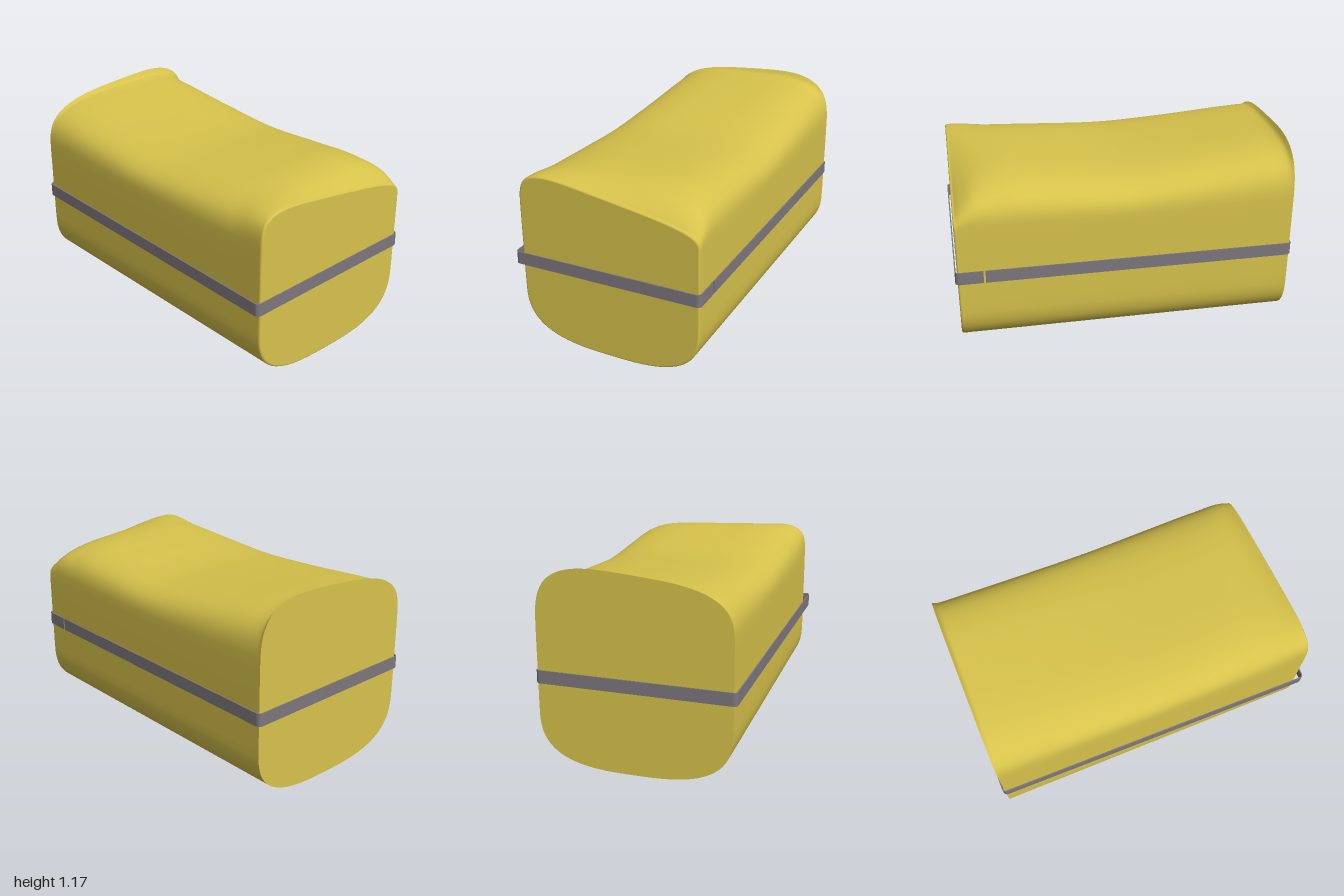
import * as THREE from 'three';

const XC = 0.012, HALF_W = 0.563, SIDE_LOW = 0.35, SIDE_HIGH = 0.8, SEG = 40;

// Lengthwise stations of the sagging top: z, crown height above the sides, sideways lean
const STATIONS = [
  [-0.987, 0.358, 0.05], [-0.965, 0.333, 0.035], [-0.92, 0.323, 0.025], [-0.8, 0.311, 0.02],
  [-0.4, 0.268, 0.01], [0, 0.239, 0], [0.4, 0.26, 0], [0.7, 0.275, -0.005],
  [0.85, 0.256, -0.03], [0.93, 0.225, -0.065], [0.962, 0.207, -0.084],
];

// Closed cross-section: bulging bottom, straight sides, leaning rounded top
function section(h, s, p, shrink) {
  const pts = [];
  for (const top of [true, false]) {
    const e = 2 / (top ? p : 2.9);
    for (let i = 0; i <= SEG; i++) {
      const a = (i / SEG + (top ? 0 : 1)) * Math.PI;
      const c = i === 0 || i === SEG ? Math.sign(Math.cos(a)) : Math.cos(a);
      const u = Math.sign(c) * Math.abs(c) ** e;
      const f = i === 0 || i === SEG ? 0 : Math.abs(Math.sin(a)) ** e;
      const y = top ? SIDE_HIGH + (h + s * u) * f : 0.003 + (SIDE_LOW - 0.003) * (1 - f);
      pts.push(new THREE.Vector2(XC + HALF_W * u * (1 - shrink), 0.53 + (y - 0.53) * (1 - shrink)));
    }
  }
  return pts;
}

function createBody(material) {
  const curve = new THREE.CatmullRomCurve3(STATIONS.map(([z, h, s]) => new THREE.Vector3(h, s, z)));
  const rings = [];
  for (let i = 0; i <= 70; i++) {
    const q = curve.getPoint(i / 70);
    const p = 3.4 + 1.1 * THREE.MathUtils.smoothstep(q.z, 0.7, 0.96);
    rings.push({ z: q.z, pts: section(q.x, q.y, p, 0) });
  }
  // Softly rounded front rim
  const [zEnd, hEnd, sEnd] = STATIONS[STATIONS.length - 1];
  for (let i = 1; i <= 5; i++) {
    const a = (i / 5) * Math.PI / 2;
    rings.push({ z: zEnd + 0.012 * Math.sin(a), pts: section(hEnd, sEnd, 4.5, 0.02 * (1 - Math.cos(a))) });
  }

  const n = rings[0].pts.length, pos = [], idx = [];
  for (const r of rings) for (const p of r.pts) pos.push(p.x, p.y, r.z);
  for (let r = 0; r < rings.length - 1; r++) {
    for (let i = 0; i < n; i++) {
      const a = r * n + i, b = r * n + (i + 1) % n;
      idx.push(a, b, b + n, a, b + n, a + n);
    }
  }
  const shellGeo = new THREE.BufferGeometry();
  shellGeo.setAttribute('position', new THREE.Float32BufferAttribute(pos, 3));
  shellGeo.setIndex(idx);
  shellGeo.computeVertexNormals();

  const body = new THREE.Group();
  body.name = 'body';
  const shell = new THREE.Mesh(shellGeo, material);
  shell.name = 'bodyShell';
  body.add(shell);

  // Flat ends
  for (const [name, ring] of [['frontFace', rings[rings.length - 1]], ['backFace', rings[0]]]) {
    const geo = new THREE.ShapeGeometry(new THREE.Shape(ring.pts));
    if (name === 'backFace') {
      geo.index.array.reverse();
      geo.computeVertexNormals();
    }
    const face = new THREE.Mesh(geo, material);
    face.name = name;
    face.position.z = ring.z;
    body.add(face);
  }
  return body;
}

// Thin strap around the middle, open at a narrow slit on the left side near the front
function createStrap(material) {
  const R = 0.025, T = 0.007, HEIGHT = 0.077;
  // Corner centres (x, z) and start angle, running from the slit around the front
  const corners = [
    [0.56, 0.963, 0], [-0.565, 0.97, 1], [-0.547, -0.974, 2], [0.56, -0.974, 3],
  ];
  const outline = (r) => {
    const pts = [new THREE.Vector2(0.56 + r, -0.826)];
    for (const [x, z, quarter] of corners) {
      for (let i = 0; i <= 4; i++) {
        const a = (quarter + i / 4) * Math.PI / 2;
        pts.push(new THREE.Vector2(x + r * Math.cos(a), -(z + r * Math.sin(a))));
      }
    }
    pts.push(new THREE.Vector2(0.56 + r, -0.814));
    return pts;
  };
  const shape = new THREE.Shape([...outline(R), ...outline(R - T).reverse()]);
  const geo = new THREE.ExtrudeGeometry(shape, { depth: HEIGHT, bevelEnabled: false });
  geo.rotateX(-Math.PI / 2);
  // Slight sag toward the front right corner
  const p = geo.attributes.position;
  for (let i = 0; i < p.count; i++) {
    const u = (0.585 - p.getX(i)) / 1.17, v = (p.getZ(i) + 1) / 2;
    p.setY(i, p.getY(i) + 0.495 - u * (0.004 + 0.011 * v));
  }
  geo.computeVertexNormals();
  const strap = new THREE.Mesh(geo, material);
  strap.name = 'strap';
  return strap;
}

export function createModel() {
  const model = new THREE.Group();
  model.name = 'strappedBale';
  const yellow = new THREE.MeshStandardMaterial({ color: 0xd6c24b });
  const grey = new THREE.MeshStandardMaterial({ color: 0x7d777d });
  model.add(createBody(yellow), createStrap(grey));
  return model;
}
